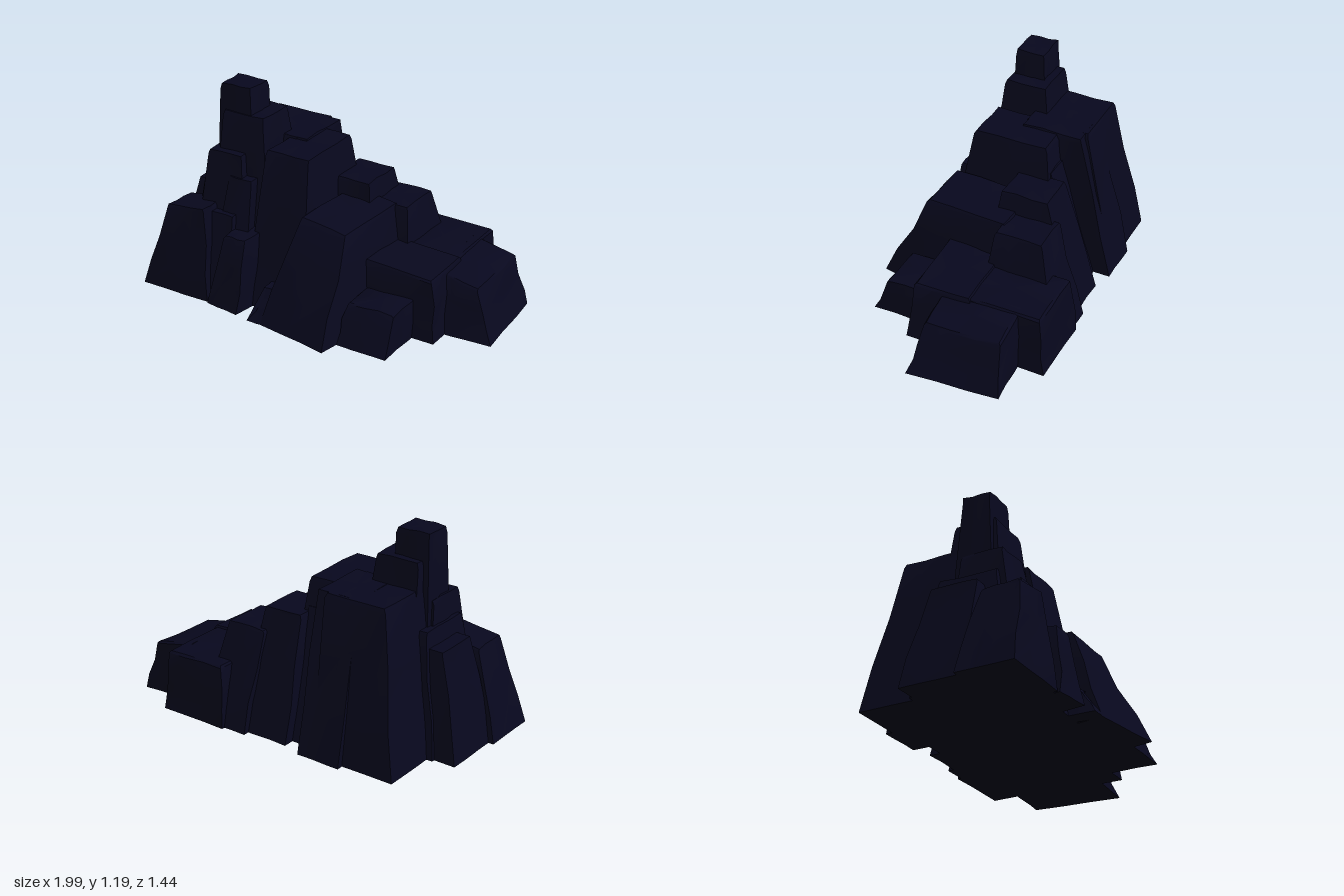
import * as THREE from 'three';
import { toCreasedNormals } from 'three/addons/utils/BufferGeometryUtils.js';

const stone = new THREE.MeshStandardMaterial({ color: 0x08081e });
stone.name = 'dark navy stone';

// Small seeded noise for uneven rock faces
let seed = 7;
const noise = (amount) => {
  seed = (seed * 16807) % 2147483647;
  return (seed / 2147483647 - 0.5) * 2 * amount;
};

// Points around a rotated rectangle [cx, cz, width, depth], three spans per side
const SPANS = 3;
function outline([cx, cz, w, d], angle) {
  const corners = [[-1, -1], [-1, 1], [1, 1], [1, -1]];
  const points = [];
  corners.forEach((a, i) => {
    const b = corners[(i + 1) % 4];
    for (let k = 0; k < SPANS; k++) {
      const f = k / SPANS;
      const x = (a[0] + (b[0] - a[0]) * f) * w / 2;
      const z = (a[1] + (b[1] - a[1]) * f) * d / 2;
      points.push([
        cx + x * Math.cos(angle) + z * Math.sin(angle),
        cz - x * Math.sin(angle) + z * Math.cos(angle),
      ]);
    }
  });
  return points;
}

// Tapered boulder from a base rectangle to a top rectangle, with a worn upper edge
function boulder(base, top, height, tilt = 0, baseAngle = 0.23, topAngle = 0.23) {
  const low = outline(base, baseAngle);
  const high = outline(top, topAngle);
  const n = low.length;
  // [height fraction, blend from base to top, scale about the top centre]
  const levels = [[0, 0, 1], [0.3, 0.3, 1], [0.62, 0.66, 1], [0.97, 1, 1], [1, 1, 0.95]];
  const positions = [];
  const index = [];
  levels.forEach(([fy, blend, scale], level) => {
    const rough = level === 1 || level === 2 ? 0.01 : 0.004;
    for (let i = 0; i < n; i++) {
      let x = THREE.MathUtils.lerp(low[i][0], high[i][0], blend);
      let z = THREE.MathUtils.lerp(low[i][1], high[i][1], blend);
      x = top[0] + (x - top[0]) * scale + noise(rough);
      z = top[1] + (z - top[1]) * scale + noise(rough);
      const y = fy * (height + tilt * (x - top[0]) / top[2]) + (level ? noise(0.004) : 0);
      positions.push(x, y, z);
    }
  });
  for (let l = 0; l < levels.length - 1; l++) {
    for (let i = 0; i < n; i++) {
      const a = l * n + i;
      const b = l * n + (i + 1) % n;
      index.push(a, b, b + n, a, b + n, a + n);
    }
  }
  // Caps
  const last = (levels.length - 1) * n;
  const under = positions.length / 3;
  positions.push(base[0], 0, base[1], top[0], height, top[1]);
  for (let i = 0; i < n; i++) {
    const j = (i + 1) % n;
    index.push(under, j, i, under + 1, last + i, last + j);
  }
  const geometry = new THREE.BufferGeometry();
  geometry.setAttribute('position', new THREE.Float32BufferAttribute(positions, 3));
  geometry.setIndex(index);
  return toCreasedNormals(geometry, 0.6);
}

export function createModel() {
  const group = new THREE.Group();
  group.name = 'rock formation';
  const add = (name, ...shape) => {
    const mesh = new THREE.Mesh(boulder(...shape), stone);
    mesh.name = name;
    group.add(mesh);
  };

  // Summit
  add('peak', [-0.54, 0.2, 0.3, 0.3], [-0.545, 0.2, 0.2, 0.17], 1.19);
  add('summitShoulder', [-0.48, 0.16, 0.4, 0.54], [-0.49, 0.17, 0.27, 0.25], 1.04);

  // High blocks
  add('backLeftCrag', [-0.6, -0.08, 0.5, 0.62], [-0.5, -0.08, 0.38, 0.38], 0.89);
  add('backCrag', [-0.42, -0.2, 0.27, 0.54], [-0.38, -0.1, 0.26, 0.36], 0.89);
  add('centralCrag', [-0.17, 0.08, 0.4, 0.72], [-0.2, 0.04, 0.28, 0.44], 0.88);
  add('frontCrag', [-0.52, 0.3, 0.38, 0.5], [-0.55, 0.26, 0.22, 0.25], 0.82);
  add('frontButtress', [-0.43, 0.38, 0.24, 0.36], [-0.42, 0.3, 0.15, 0.17], 0.7);
  add('leftShoulder', [-0.57, 0.22, 0.5, 0.56], [-0.57, 0.2, 0.28, 0.35], 0.68);

  // Middle steps
  add('backStep', [0, -0.25, 0.35, 0.56], [-0.01, -0.2, 0.24, 0.28], 0.69);
  add('backFill', [-0.25, -0.2, 0.3, 0.42], [-0.22, -0.1, 0.24, 0.22], 0.72);
  add('backLowerStep', [0.22, -0.36, 0.32, 0.52], [0.175, -0.31, 0.24, 0.28], 0.57);
  add('frontStep', [0.16, 0.22, 0.46, 0.68], [0.135, 0.06, 0.3, 0.5], 0.585, -0.03, 0.06, 0.15);

  // Left foot
  add('leftFoot', [-0.76, 0.18, 0.4, 0.36], [-0.68, 0.2, 0.26, 0.28], 0.59);
  add('frontLeftFoot', [-0.7, 0.5, 0.44, 0.34], [-0.65, 0.49, 0.25, 0.22], 0.52, 0.03);

  // Front foot stones
  add('footFill', [-0.48, 0.42, 0.2, 0.34], [-0.48, 0.38, 0.16, 0.2], 0.5);
  add('frontFootStone', [-0.34, 0.45, 0.22, 0.32], [-0.32, 0.42, 0.14, 0.22], 0.42, 0, 0.1);
  add('frontSliver', [-0.11, 0.48, 0.1, 0.22], [-0.09, 0.42, 0.08, 0.1], 0.17);

  // Low right ledges
  add('backRightLedge', [0.41, -0.4, 0.42, 0.56], [0.41, -0.41, 0.38, 0.48], 0.355, -0.01);
  add('farRightLedge', [0.757, -0.347, 0.34, 0.53], [0.695, -0.36, 0.26, 0.45], 0.32, -0.06, 0.3);
  add('rightLedge', [0.49, -0.07, 0.48, 0.38], [0.47, -0.08, 0.44, 0.33], 0.365, -0.03);
  add('frontRightLedge', [0.51, 0.21, 0.3, 0.38], [0.5, 0.16, 0.28, 0.3], 0.22);

  // Inner mass
  add('core', [-0.2, 0.08, 1.0, 0.66], [-0.25, 0.05, 0.7, 0.36], 0.5);
  return group;
}
